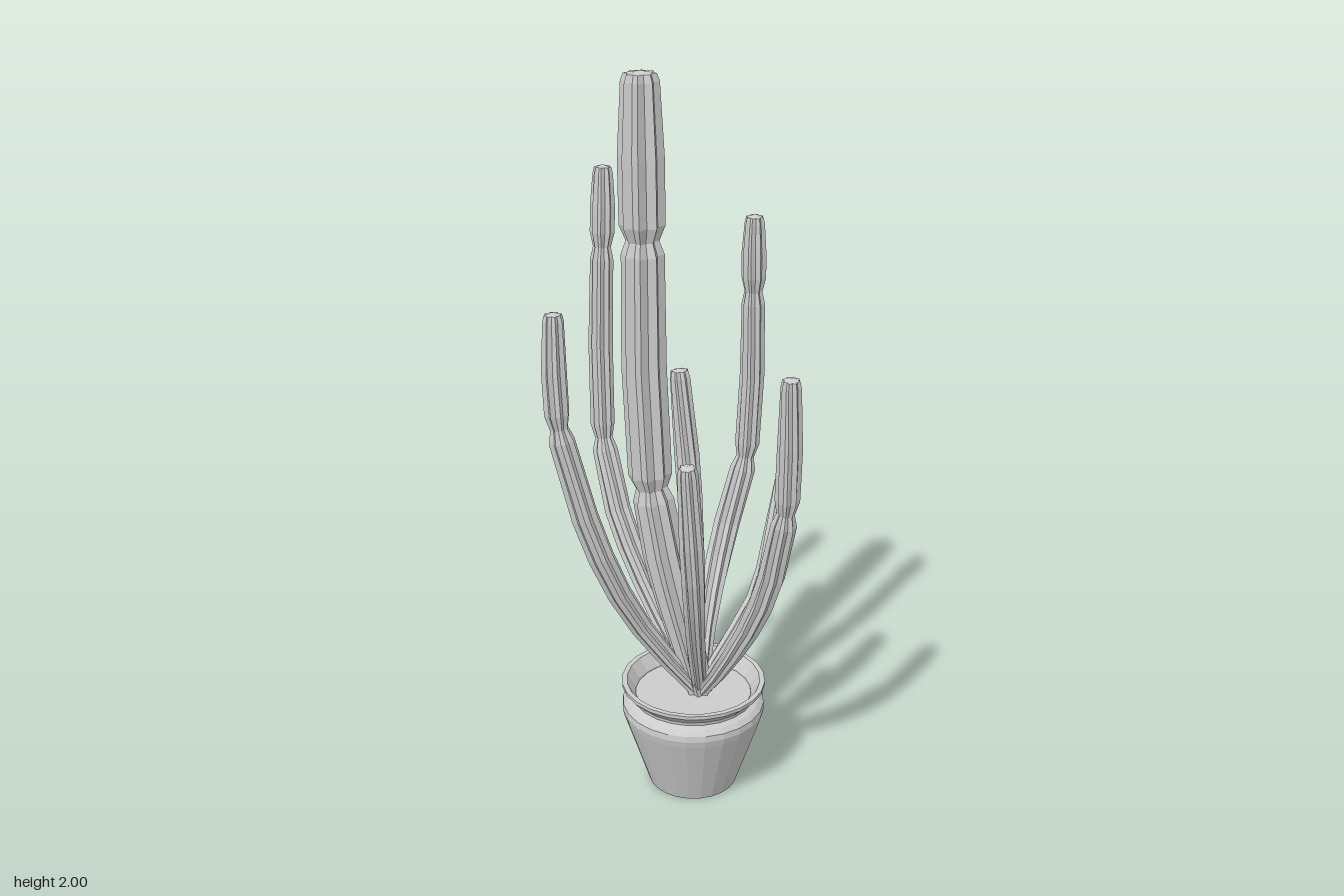
import * as THREE from 'three';

const RIBS = 8;
const ROOT = [0.045, 0.27, 0.04];
const material = new THREE.MeshStandardMaterial({ color: 0xcccccc, flatShading: true, side: THREE.DoubleSide });

// Ring heights and widths of one stem: bulging sections divided by narrow joints
function stemRings(r, joints, top) {
  const ends = [ROOT[1], ...joints, top];
  const rings = [];
  for (let s = 0; s < ends.length - 1; s++) {
    const lo = ends[s], hi = ends[s + 1], len = hi - lo;
    const size = s > 0 && r < 0.05 ? r * 0.9 : r;
    if (s === 0) {
      for (let i = 0; i < 6; i++) rings.push([lo + len * i * 0.14, size * (0.6 + 0.4 * Math.sin(i * Math.PI / 10))]);
    } else {
      rings.push([lo, size * 0.72], [lo + 0.04, size], [lo + len / 2, size]);
    }
    if (s === ends.length - 2) rings.push([hi - 0.025, size * 0.82], [hi - 0.006, size * 0.7]);
    else rings.push([hi - 0.035, size * 0.94]);
  }
  return rings;
}

// Star-shaped cross-sections swept along a rising curve
function stemGeometry(r, twist, joints, points) {
  const tip = points[points.length - 1];
  const curve = new THREE.CatmullRomCurve3([ROOT, ...points].map(p => new THREE.Vector3(...p)));
  const paramAt = y => {
    let a = 0, b = 1;
    for (let i = 0; i < 24; i++) {
      const m = (a + b) / 2;
      if (curve.getPoint(m).y < y) a = m; else b = m;
    }
    return (a + b) / 2;
  };
  const up = new THREE.Vector3(0, 1, 0), n = RIBS * 2;
  const pos = [], index = [];
  const rings = stemRings(r, joints, tip[1]);
  rings.forEach(([y, radius], i) => {
    const t = paramAt(y), centre = curve.getPoint(t);
    const turn = new THREE.Quaternion().setFromUnitVectors(up, curve.getTangent(t));
    for (let j = 0; j < n; j++) {
      const a = (j / n) * Math.PI * 2 + twist * t;
      const k = radius * (j % 2 ? 0.76 : 1);
      const v = new THREE.Vector3(Math.cos(a) * k, 0, Math.sin(a) * k).applyQuaternion(turn).add(centre);
      pos.push(v.x, v.y, v.z);
      if (i === rings.length - 1) continue;
      const c = i * n + j, d = i * n + (j + 1) % n;
      index.push(c, c + n, d, d, c + n, d + n);
    }
  });
  // Tip cap
  pos.push(...tip);
  const base = (rings.length - 1) * n;
  for (let j = 0; j < n; j++) index.push(base + n, base + (j + 1) % n, base + j);
  const g = new THREE.BufferGeometry();
  g.setAttribute('position', new THREE.Float32BufferAttribute(pos, 3));
  g.setIndex(index);
  const flat = g.toNonIndexed();
  flat.computeVertexNormals();
  return flat;
}

export function createModel() {
  const model = new THREE.Group();
  model.name = 'pottedCactus';
  const add = (name, geometry, parent) => {
    const mesh = new THREE.Mesh(geometry, material);
    mesh.name = name;
    parent.add(mesh);
    return mesh;
  };

  // Pot with rounded shoulder, waisted neck and flared rim
  const pot = new THREE.Group();
  pot.name = 'pot';
  pot.position.set(0.03, 0, 0.03);
  model.add(pot);
  const profile = [[0, 0], [0.125, 0], [0.195, 0.215], [0.2, 0.235], [0.198, 0.252], [0.186, 0.265],
    [0.172, 0.272], [0.174, 0.282], [0.2, 0.308], [0.2, 0.318], [0.186, 0.318], [0.162, 0.28], [0.162, 0.26]];
  add('potBody', new THREE.LatheGeometry(profile.map(p => new THREE.Vector2(...p)), 24), pot);

  // Soil disc
  const soil = add('soil', new THREE.CircleGeometry(0.166, 24), pot);
  soil.rotation.x = -Math.PI / 2;
  soil.position.y = 0.275;

  // Ribbed stems: radius, twist, joint heights, points from the root to the tip
  const cactus = new THREE.Group();
  cactus.name = 'cactus';
  model.add(cactus);
  const addStem = (name, r, twist, joints, ...points) => add(name, stemGeometry(r, twist, joints, points), cactus);

  addStem('mainStem', 0.059, 0, [0.9, 1.58], [-0.05, 0.9, -0.05], [-0.068, 1.58, -0.058], [-0.07, 2, -0.06]);
  addStem('leftTallArm', 0.037, 1, [0.91, 1.39], [0.1, 0.46, 0], [0.2, 0.68, -0.045], [0.266, 0.93, -0.03], [0.262, 1.6, -0.008]);
  addStem('backArm', 0.037, 0.8, [0.94, 1.48], [0.03, 0.42, -0.09], [0, 0.73, -0.265], [0, 0.95, -0.33], [0.033, 1.7, -0.355]);
  addStem('rightArm', 0.037, 0.4, [1.12], [-0.1, 0.49, -0.02], [-0.215, 0.73, -0.05], [-0.305, 1.12, -0.105], [-0.31, 1.43, -0.11]);
  addStem('frontArm', 0.036, 1, [0.93], [0.05, 0.41, 0.14], [0.07, 0.65, 0.265], [0.073, 0.93, 0.34], [0.055, 1.31, 0.366]);
  addStem('leftBackArm', 0.036, 1, [], [0.11, 0.45, -0.06], [0.2, 0.72, -0.19], [0.195, 1.125, -0.235]);
  addStem('rightFrontArm', 0.033, 0.6, [], [-0.02, 0.47, 0.1], [-0.08, 0.72, 0.16], [-0.116, 1.06, 0.178]);
  addStem('leftFrontArm', 0.036, 1.2, [], [0.1, 0.37, 0.06], [0.22, 0.55, 0.095], [0.316, 0.88, 0.08]);
  return model;
}
